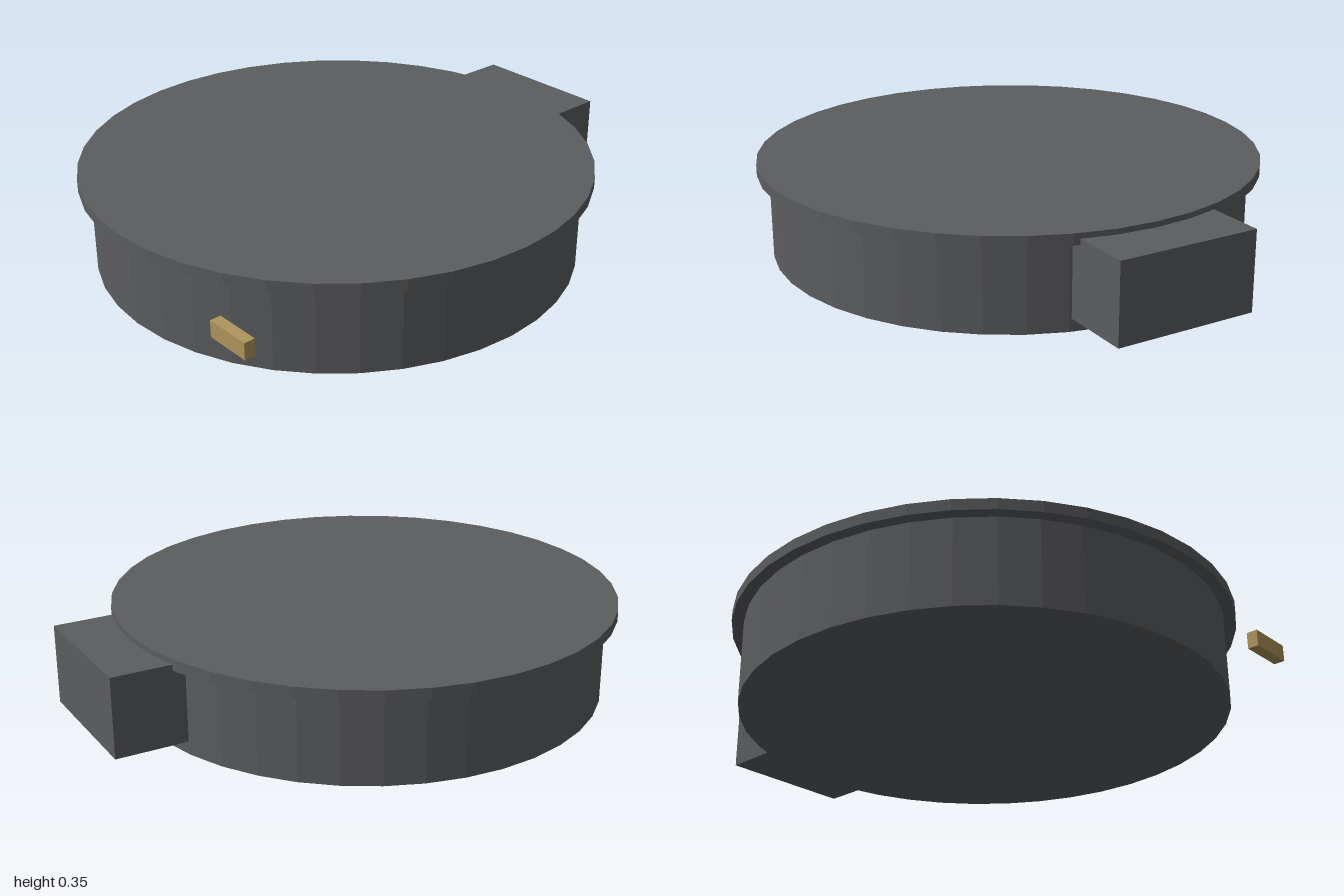
import * as THREE from 'three';

export function createModel() {
  const model = new THREE.Group();
  const dark = new THREE.MeshStandardMaterial({ color: 0x5c5d5f, flatShading: true });
  const brass = new THREE.MeshStandardMaterial({ color: 0xb0945a, flatShading: true });
  const centerZ = 0.087;

  function add(name, geometry, material, x, y, z) {
    const mesh = new THREE.Mesh(geometry, material);
    mesh.name = name;
    mesh.position.set(x, y, z);
    model.add(mesh);
  }

  // Round body and the slightly wider lid
  add('body', new THREE.CylinderGeometry(0.87, 0.87, 0.31, 40), dark, 0, 0.155, centerZ);
  add('lid', new THREE.CylinderGeometry(0.913, 0.913, 0.04, 40), dark, 0, 0.33, centerZ);

  // Hinge block at the back, sunk into the body
  add('hingeBlock', new THREE.BoxGeometry(0.52, 0.285, 0.3), dark, 0, 0.188, -0.85);

  // Small brass latch, offset to the left of the front
  add('latch', new THREE.BoxGeometry(0.17, 0.06, 0.04), brass, 0.519, 0.19, 0.946);

  return model;
}
